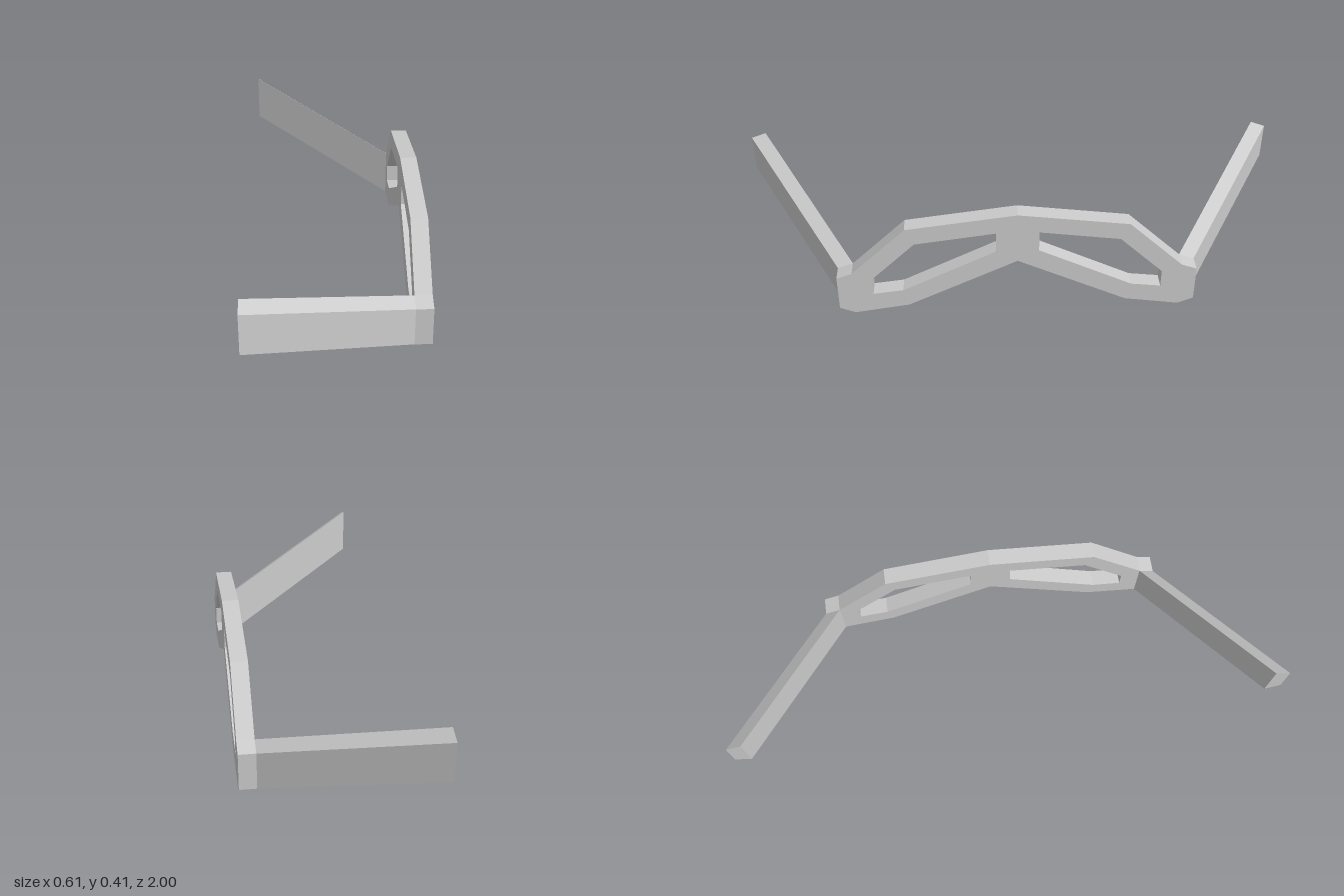
import * as THREE from 'three';

const BACK = -0.305, HINGE = 0.245, FRONT = 0.305;
const material = new THREE.MeshStandardMaterial({ color: 0xcccccc, flatShading: true });

const toPoints = (list, side = 1) => list.map(([z, y]) => new THREE.Vector2(-z * side, y));

// Extrudes a [z, y] outline along x, from x0 to x1
function extrudeAlongX(shape, x0, x1) {
  return new THREE.ExtrudeGeometry(shape, { depth: x1 - x0, bevelEnabled: false })
    .rotateY(Math.PI / 2)
    .translate(x0, 0, 0);
}

function addMesh(group, geometry, name) {
  const mesh = new THREE.Mesh(geometry, material);
  mesh.name = name;
  group.add(mesh);
}

export function createModel() {
  const group = new THREE.Group();
  group.name = 'eyeglasses';

  // Front frame: half outline from top centre to bottom centre, mirrored
  const half = [[0, 0.415], [0.39, 0.365], [0.585, 0.18], [0.64, 0.16],
    [0.64, 0.025], [0.585, 0.002], [0.39, 0.031], [0, 0.218]];
  const mirrored = half.slice(1, -1).reverse().map(([z, y]) => [-z, y]);
  const frame = new THREE.Shape(toPoints([...half, ...mirrored]));

  // Lens openings
  const lens = [[0.075, 0.34], [0.36, 0.302], [0.515, 0.153],
    [0.515, 0.086], [0.408, 0.099], [0.075, 0.262]];
  for (const side of [1, -1]) frame.holes.push(new THREE.Path(toPoints(lens, side)));
  addMesh(group, extrudeAlongX(frame, HINGE, FRONT), 'frontFrame');

  // Temple arms: a trapezoid section sheared outward and up toward the tips
  const section = [[0.585, 0.18], [0.64, 0.16], [0.64, 0.025], [0.585, 0.002]];
  for (const side of [1, -1]) {
    const arm = extrudeAlongX(new THREE.Shape(toPoints(section, side)), BACK, HINGE);
    const p = arm.attributes.position;
    for (let i = 0; i < p.count; i++) {
      const t = (HINGE - p.getX(i)) / (HINGE - BACK);
      p.setY(i, p.getY(i) + 0.217 * t);
      p.setZ(i, p.getZ(i) + side * 0.36 * t);
    }
    arm.computeVertexNormals();
    addMesh(group, arm, side > 0 ? 'templeArmFront' : 'templeArmBack');
  }
  return group;
}
